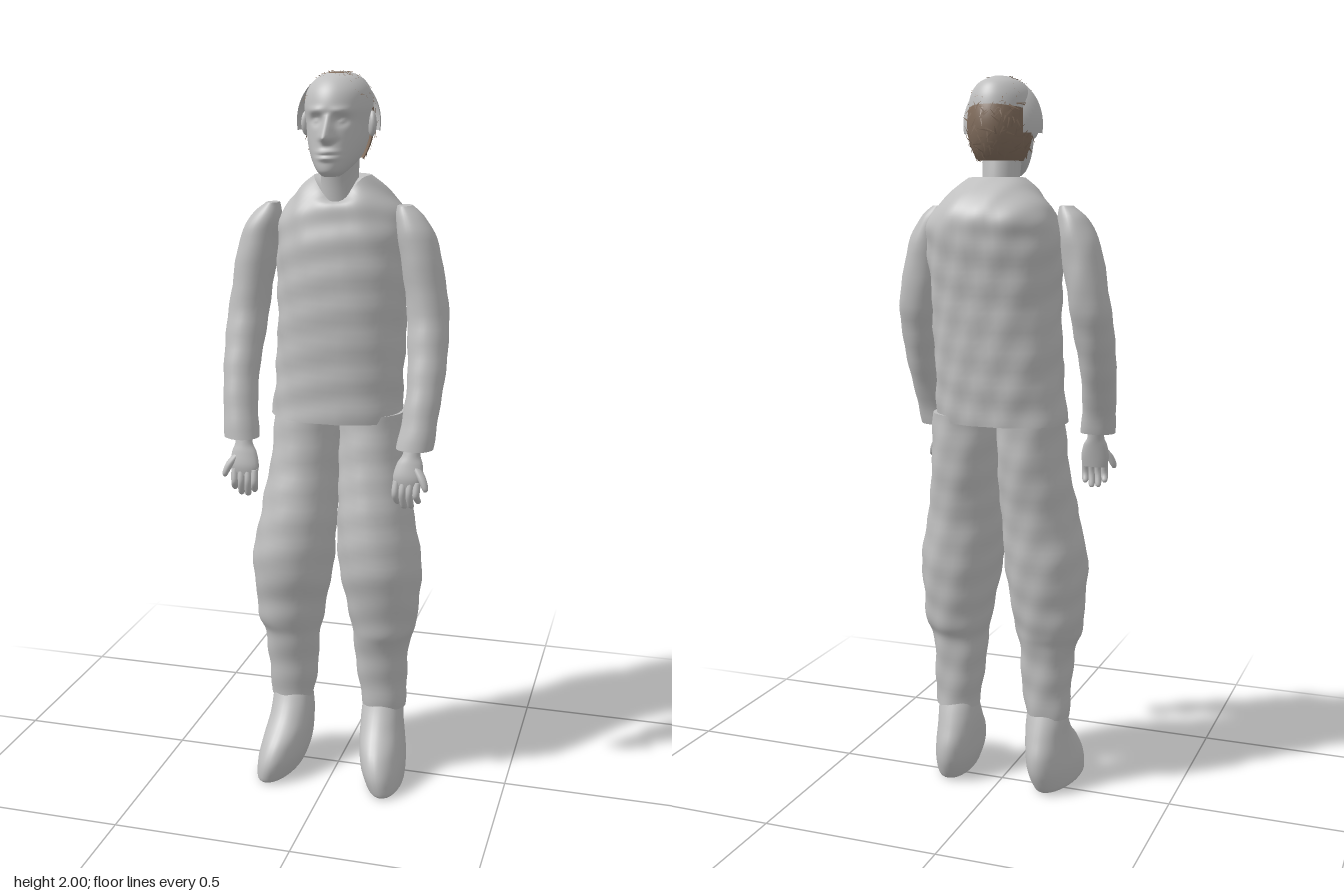
import * as THREE from 'three';

const paint = (name, color, side = THREE.FrontSide) => {
  const m = new THREE.MeshStandardMaterial({ color, side });
  m.name = name;
  return m;
};

// Catmull-Rom blend of four numbers
const blend = (a, b, c, d, t) =>
  0.5 * (2 * b + (c - a) * t + (2 * a - 5 * b + 4 * c - d) * t * t + (3 * b - a - 3 * c + d) * t * t * t);

// Smooth capped loft through ellipses [y, cx, cz, rx, rz, frontDip], listed from bottom to top
function loft(rows, { segs = 32, steps = 5, power = 1, warp = null, side = 1 } = {}) {
  const rings = [];
  const row = (i, k) => rows[Math.min(Math.max(i, 0), rows.length - 1)][k] ?? 0;
  for (let i = 0; i < rows.length - 1; i++) {
    for (let s = 0; s < steps + (i === rows.length - 2 ? 1 : 0); s++) {
      const v = [0, 1, 2, 3, 4, 5].map(k => blend(row(i - 1, k), row(i, k), row(i + 1, k), row(i + 2, k), s / steps));
      const ring = [];
      for (let j = 0; j < segs; j++) {
        const a = (j / segs) * Math.PI * 2, c = Math.cos(a), n = Math.sin(a);
        const p = new THREE.Vector3(
          side * v[1] + v[3] * Math.sign(c) * Math.abs(c) ** power,
          v[0] - v[5] * Math.max(0, n) ** 4,
          v[2] + v[4] * Math.sign(n) * Math.abs(n) ** power);
        if (warp) warp(p, n, c);
        ring.push(p);
      }
      rings.push(ring);
    }
  }
  const pos = [], idx = [];
  rings.forEach(r => r.forEach(p => pos.push(p.x, p.y, p.z)));
  for (let i = 0; i < rings.length - 1; i++) {
    for (let j = 0; j < segs; j++) {
      const a = i * segs + j, b = i * segs + (j + 1) % segs;
      idx.push(a, a + segs, b, b, a + segs, b + segs);
    }
  }
  // End caps with their own corners, so the rims stay sharp
  [rings[0], rings[rings.length - 1]].forEach((ring, top) => {
    const base = pos.length / 3, mid = new THREE.Vector3();
    ring.forEach(p => { pos.push(p.x, p.y, p.z); mid.addScaledVector(p, 1 / segs); });
    pos.push(mid.x, mid.y, mid.z);
    for (let j = 0; j < segs; j++) {
      const a = base + j, b = base + (j + 1) % segs;
      idx.push(base + segs, top ? b : a, top ? a : b);
    }
  });
  const g = new THREE.BufferGeometry();
  g.setAttribute('position', new THREE.Float32BufferAttribute(pos, 3));
  g.setIndex(idx);
  g.computeVertexNormals();
  return g;
}

const bump = (v, centre, width) => Math.exp(-(((v - centre) / width) ** 2));

// Shallow cloth folds
const folds = amount => (p, n, c) => {
  const w = amount * (Math.sin(p.y * 47 + p.x * 31) * Math.sin(p.x * 43 - p.y * 19 + p.z * 27));
  p.x += c * w;
  p.z += n * w;
};

// Nose, eyes, lips and chin pressed into the front of the head
function face(p, n) {
  if (n <= 0) return;
  const u = p.x - 0.01, y = p.y, e = Math.abs(u);
  const ridge = y > 1.832 ? Math.max(0, 1 - (y - 1.832) / 0.062) : Math.max(0, 1 - (1.832 - y) / 0.018);
  p.z += 0.047 * ridge * bump(u, 0, 0.009 + 0.007 * ridge);
  p.z -= 0.014 * bump(e, 0.034, 0.017) * bump(y, 1.876, 0.013);
  p.z += 0.008 * bump(e, 0.034, 0.009) * bump(y, 1.874, 0.006);
  p.z += 0.006 * bump(e, 0.034, 0.022) * bump(y, 1.9, 0.009);
  p.z += 0.012 * bump(u, 0, 0.022) * (bump(y, 1.797, 0.006) + bump(y, 1.782, 0.006));
  p.z -= 0.005 * bump(u, 0, 0.026) * bump(y, 1.79, 0.003);
}

// Thin loose strands scattered over the hair
function strands(count) {
  let seed = 7;
  const rnd = () => (seed = (seed * 16807) % 2147483647) / 2147483647;
  const pos = [];
  while (pos.length < count * 9) {
    const phi = rnd() * Math.PI * 2, back = phi > Math.PI;
    const theta = (back ? 0.12 + rnd() * 0.64 : 0.06 + rnd() * 0.28) * Math.PI;
    const dir = new THREE.Vector3(-Math.cos(phi) * Math.sin(theta), Math.cos(theta), Math.sin(phi) * Math.sin(theta));
    const p = dir.clone().multiply(new THREE.Vector3(0.094, 0.128, 0.121)).add(new THREE.Vector3(0.01, 1.87, 0.025));
    const t = new THREE.Vector3(rnd() - 0.5, rnd() - 0.5, rnd() - 0.5).cross(dir).normalize();
    const w = t.clone().cross(dir).multiplyScalar(0.003);
    const q = p.clone().addScaledVector(t, 0.02 + rnd() * 0.015).addScaledVector(dir, 0.003);
    if (q.y > 2) continue;
    [p.clone().add(w), p.clone().sub(w), q].forEach(k => pos.push(k.x, k.y, k.z));
  }
  const g = new THREE.BufferGeometry();
  g.setAttribute('position', new THREE.Float32BufferAttribute(pos, 3));
  g.computeVertexNormals();
  return g;
}

export function createModel() {
  const model = new THREE.Group();
  model.name = 'standingFigure';
  const grey = paint('plainGrey', 0xbfbfbf);
  const greyShell = paint('plainGreyShell', 0xbfbfbf, THREE.DoubleSide);
  const brown = paint('hairBrown', 0x806c5c, THREE.DoubleSide);
  const add = (name, geometry, material = grey, parent = model) => {
    const m = new THREE.Mesh(geometry, material);
    m.name = name;
    parent.add(m);
    return m;
  };

  // Tunic with a dipped neckline
  add('tunic', loft([
    [1.07, -0.01, -0.025, 0.185, 0.13], [1.2, -0.003, -0.03, 0.178, 0.135], [1.4, 0.003, -0.034, 0.178, 0.143],
    [1.55, 0.005, -0.045, 0.183, 0.147], [1.62, 0.005, -0.052, 0.175, 0.142],
    [1.68, 0.005, -0.04, 0.128, 0.118, 0.02], [1.73, 0.005, -0.018, 0.075, 0.075, 0.065],
  ], { segs: 56, steps: 8, power: 0.88, warp: folds(0.004) }));

  // Neck and head
  add('neck', loft([[1.62, 0.008, 0, 0.055, 0.055], [1.72, 0.008, 0.012, 0.05, 0.058], [1.8, 0.01, 0.03, 0.054, 0.064]]));
  add('head', loft([
    [1.735, 0.01, 0.11, 0.022, 0.03], [1.75, 0.01, 0.095, 0.04, 0.06], [1.78, 0.01, 0.058, 0.062, 0.098],
    [1.82, 0.01, 0.04, 0.076, 0.11], [1.87, 0.01, 0.03, 0.083, 0.115], [1.91, 0.01, 0.03, 0.087, 0.117],
    [1.95, 0.01, 0.027, 0.08, 0.106], [1.98, 0.01, 0.022, 0.056, 0.08], [1.996, 0.01, 0.02, 0.02, 0.035],
  ], { segs: 96, steps: 9, warp: face }));

  // Hair caps, band shell and loose strands
  const cap = (name, mat, phi, theta, len, z, r) => {
    const m = add(name, new THREE.SphereGeometry(1, 28, 16, phi, Math.PI, theta * Math.PI, len * Math.PI), mat);
    m.scale.set(...r);
    m.position.set(0.01, 1.87, z);
  };
  cap('backHair', brown, Math.PI, 0.2, 0.56, 0.025, [0.09, 0.132, 0.12]);
  cap('frontHair', brown, 0, 0.05, 0.26, 0.04, [0.09, 0.127, 0.108]);
  cap('headBand', greyShell, Math.PI, 0.08, 0.48, 0.04, [0.112, 0.124, 0.1]);
  add('hairStrands', strands(320), brown);

  for (const s of [1, -1]) {
    const label = s > 0 ? 'left' : 'right';
    const part = (name, rows, opts = {}) => add(label + name, loft(rows, { side: s, ...opts }));

    const ear = add(label + 'Ear', new THREE.SphereGeometry(1, 16, 12));
    ear.scale.set(0.012, 0.033, 0.02);
    ear.position.set(0.01 + s * 0.088, 1.865, 0.028);
    ear.rotation.y = s * 0.4;

    // Sleeve, bent forward at the elbow
    part('Sleeve', [
      [1.025, 0.243, 0.12, 0.049, 0.044], [1.1, 0.252, 0.1, 0.048, 0.047], [1.2, 0.259, 0.065, 0.05, 0.055],
      [1.3, 0.256, 0.032, 0.054, 0.06], [1.4, 0.248, 0.006, 0.056, 0.064], [1.55, 0.222, 0.004, 0.054, 0.062],
      [1.62, 0.2, 0.004, 0.041, 0.05], [1.655, 0.183, 0.004, 0.018, 0.03],
    ], { warp: folds(0.002) });

    // Hand: palm, four fingers and a thumb
    part('Palm', [
      [0.922, 0.228, 0.142, 0.034, 0.014], [0.95, 0.23, 0.14, 0.041, 0.019], [0.985, 0.233, 0.132, 0.035, 0.02],
      [1.01, 0.236, 0.125, 0.024, 0.02], [1.05, 0.24, 0.115, 0.024, 0.02],
    ], { segs: 20 });
    for (let k = 0; k < 4; k++) {
      const x = 0.198 + k * 0.019, tip = 0.862 + [0.012, 0, 0.002, 0.016][k];
      part('Finger' + (k + 1), [
        [tip, x + 0.004, 0.14, 0.004, 0.004], [tip + 0.008, x + 0.003, 0.143, 0.009, 0.009],
        [0.905, x, 0.153, 0.01, 0.011], [0.94, x + 0.002, 0.145, 0.01, 0.011],
      ], { segs: 12, steps: 4 });
    }
    part('Thumb', [
      [0.918, 0.281, 0.158, 0.004, 0.004], [0.928, 0.28, 0.157, 0.009, 0.01],
      [0.955, 0.268, 0.15, 0.012, 0.012], [0.985, 0.246, 0.135, 0.011, 0.012],
    ], { segs: 12, steps: 4 });

    // Baggy trouser leg, gathered below the knee
    part('TrouserLeg', [
      [0.215, 0.138, 0.005, 0.063, 0.055], [0.32, 0.134, 0.008, 0.073, 0.065], [0.42, 0.133, 0.014, 0.08, 0.08],
      [0.47, 0.138, 0.014, 0.094, 0.096], [0.54, 0.134, 0.014, 0.104, 0.108], [0.66, 0.127, 0.018, 0.116, 0.127],
      [0.8, 0.111, 0.009, 0.107, 0.123], [0.95, 0.099, -0.018, 0.097, 0.115], [1.09, 0.094, -0.03, 0.092, 0.105],
    ], { segs: 40, steps: 7, warp: folds(0.003) });

    // Rounded boot, its toe turned slightly outward
    part('Boot', [
      [0, 0.155, 0.06, 0.046, 0.115], [0.012, 0.155, 0.058, 0.055, 0.13], [0.06, 0.148, 0.048, 0.064, 0.142],
      [0.11, 0.142, 0.034, 0.064, 0.13], [0.16, 0.137, 0.016, 0.062, 0.094], [0.2, 0.136, 0.008, 0.06, 0.07],
      [0.235, 0.136, 0.005, 0.056, 0.052],
    ], { warp: p => { p.x += s * 0.1 * (p.z - 0.03) * Math.max(0, 1 - p.y / 0.2); } });
  }
  return model;
}
